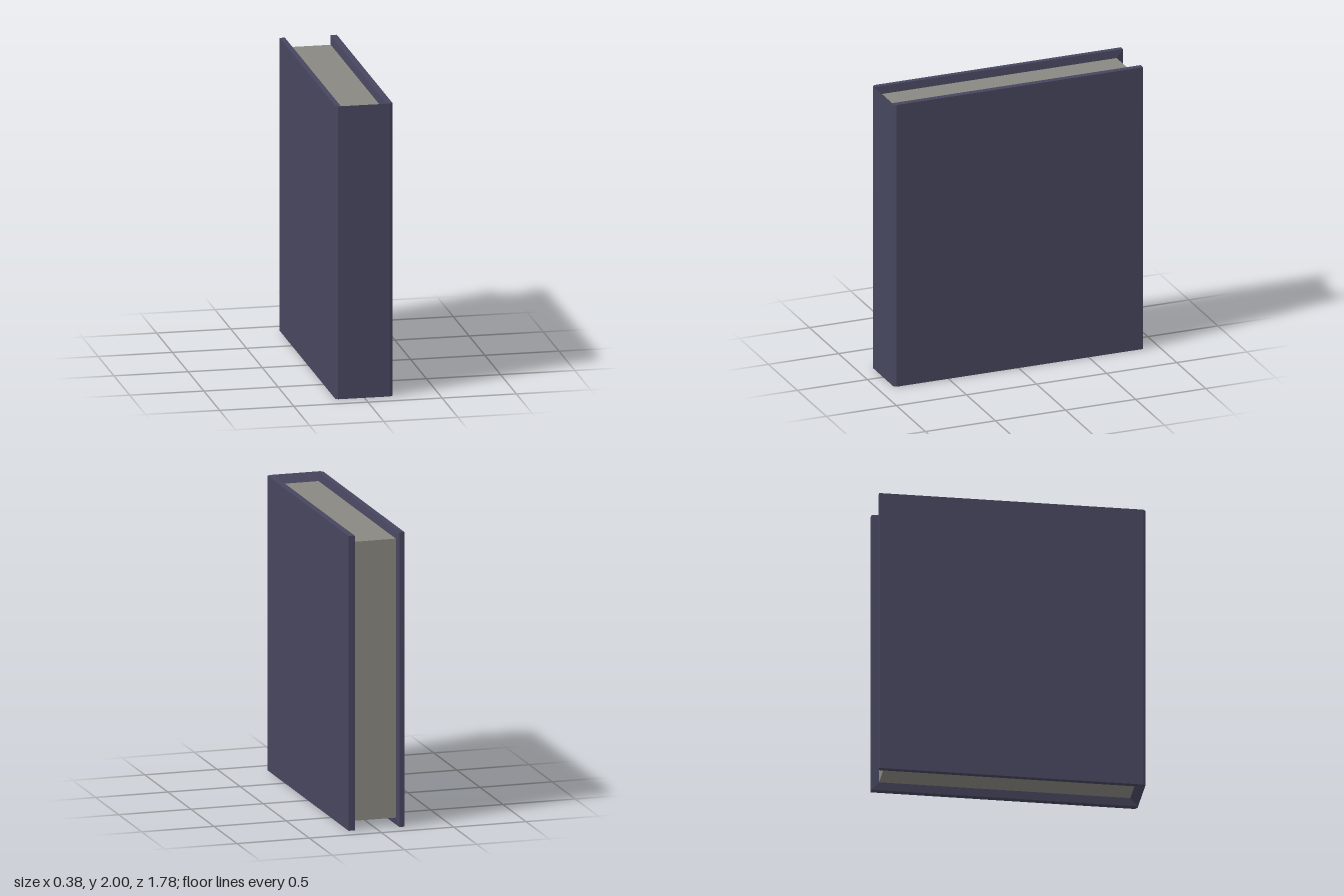
import * as THREE from 'three';

const H = 2, ZF = 0.888, ZB = -0.888, ZBEVEL = 0.872;
// Page block limits, set in from the cover edges
const P = { top: 1.947, bottom: 0.053, front: 0.835, back: -0.84 };
// x positions of each cover board: outer face, spine bevel, inner rim, page contact
const LEFT = { outer: 0.191, bevel: 0.172, rim: 0.149, inner: 0.14 };
const RIGHT = { outer: -0.194, bevel: -0.177, rim: -0.159, inner: -0.15 };

// Mesh from flat convex polygons, each wound counter-clockwise from outside
function polygons(name, faces, material) {
  const pos = [];
  for (const f of faces)
    for (let i = 1; i < f.length - 1; i++) pos.push(...f[0], ...f[i], ...f[i + 1]);
  const geo = new THREE.BufferGeometry();
  geo.setAttribute('position', new THREE.Float32BufferAttribute(pos, 3));
  geo.computeVertexNormals();
  const mesh = new THREE.Mesh(geo, material);
  mesh.name = name;
  return mesh;
}

// One board: outer face, spine bevel, flat rims and the sloping inner lip
function boardFaces({ outer, bevel, rim, inner }) {
  const topRim = [[rim, ZF], [bevel, ZF], [outer, ZBEVEL], [outer, ZB], [rim, ZB]];
  const faces = [
    [[outer, 0, ZBEVEL], [outer, 0, ZB], [outer, H, ZB], [outer, H, ZBEVEL]],
    [[bevel, 0, ZF], [outer, 0, ZBEVEL], [outer, H, ZBEVEL], [bevel, H, ZF]],
    topRim.map(([x, z]) => [x, H, z]),
    topRim.map(([x, z]) => [x, 0, z]).reverse(),
    [[outer, 0, ZB], [rim, 0, ZB], [rim, H, ZB], [outer, H, ZB]],
    [[inner, P.top, P.back], [inner, P.top, P.front], [rim, H, ZF], [rim, H, ZB]],
    [[rim, 0, ZB], [inner, P.bottom, P.back], [inner, P.top, P.back], [rim, H, ZB]],
    [[rim, 0, ZB], [rim, 0, ZF], [inner, P.bottom, P.front], [inner, P.bottom, P.back]],
  ];
  return outer > 0 ? faces : faces.map((f) => f.reverse());
}

export function createModel() {
  const book = new THREE.Group();
  book.name = 'book';
  const cover = new THREE.MeshStandardMaterial({ color: 0x47465f });
  const paper = new THREE.MeshStandardMaterial({ color: 0x8a8881 });

  book.add(polygons('leftCover', boardFaces(LEFT), cover));
  book.add(polygons('rightCover', boardFaces(RIGHT), cover));

  // Spine: flat front with lips sloping in to the pages at both ends
  const lip = (edge, page) => [
    [RIGHT.inner, page, P.front], [RIGHT.rim, edge, ZF],
    [LEFT.rim, edge, ZF], [LEFT.inner, page, P.front],
  ];
  book.add(polygons('spine', [
    [[RIGHT.bevel, 0, ZF], [LEFT.bevel, 0, ZF], [LEFT.bevel, H, ZF], [RIGHT.bevel, H, ZF]],
    lip(H, P.top),
    lip(0, P.bottom).reverse(),
  ], cover));

  // Page block
  const pages = new THREE.Mesh(
    new THREE.BoxGeometry(LEFT.inner - RIGHT.inner, P.top - P.bottom, P.front - P.back), paper);
  pages.position.set((LEFT.inner + RIGHT.inner) / 2, H / 2, (P.front + P.back) / 2);
  pages.name = 'pages';
  book.add(pages);
  return book;
}
